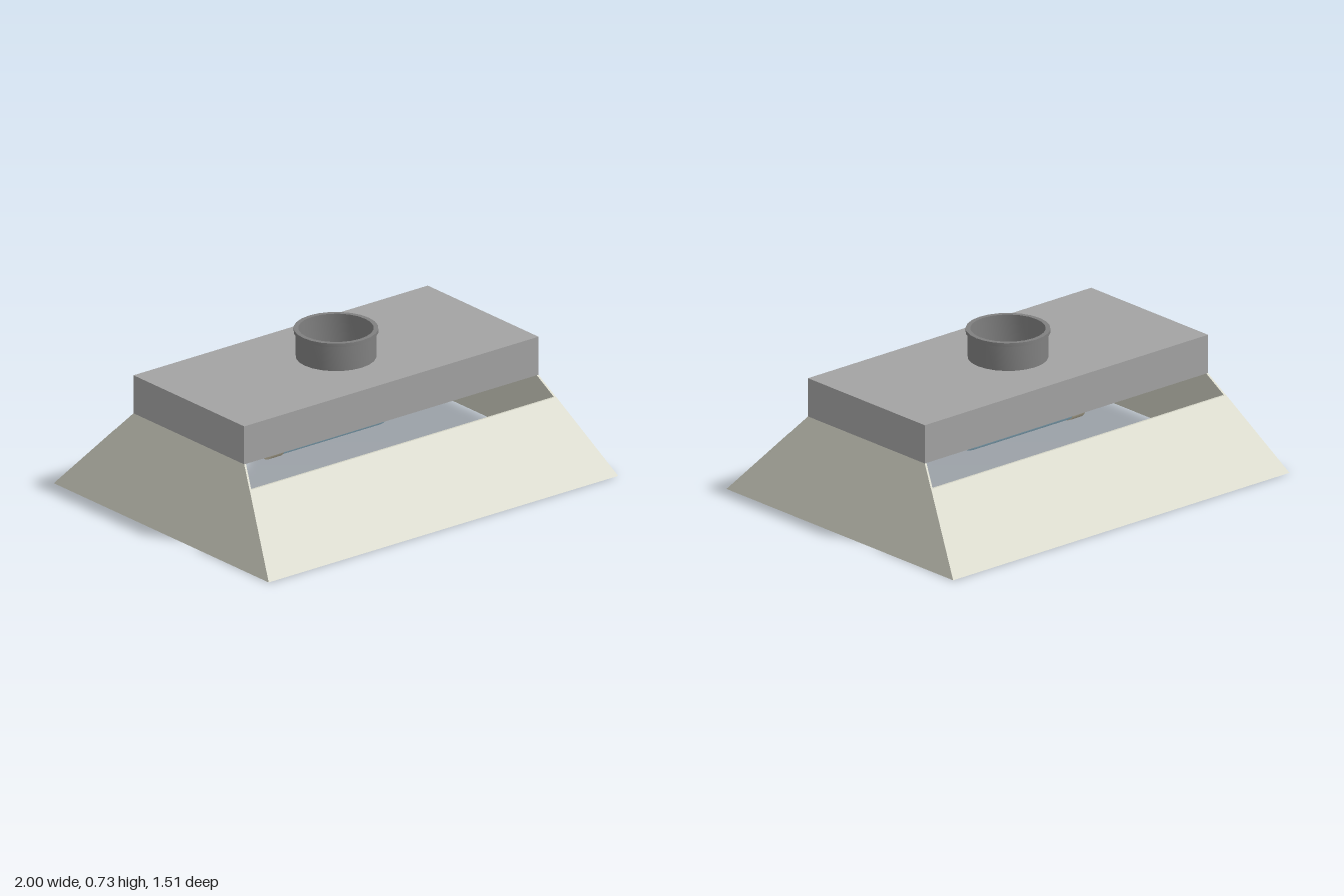
import * as THREE from 'three';
import { toCreasedNormals } from 'three/addons/utils/BufferGeometryUtils.js';
import { ConvexGeometry } from 'three/addons/geometries/ConvexGeometry.js';

const mat = (color) => new THREE.MeshStandardMaterial({ color });
const v2 = (pts) => pts.map(([x, y]) => new THREE.Vector2(x, y));

export function createModel() {
  const model = new THREE.Group();
  model.name = 'extractorHood';
  const panelMat = mat(0xd4d4c6), boxMat = mat(0xa3a3a3), ductMat = mat(0x808080), bracketMat = mat(0x606060);

  const add = (name, geometry, material, parent = model) => {
    const mesh = new THREE.Mesh(geometry, material);
    mesh.name = name;
    parent.add(mesh);
    return mesh;
  };

  // thin sloping panel: outer corners plus the same corners moved inward
  const panel = (name, corners, inward) => {
    const outer = corners.map((c) => new THREE.Vector3(...c));
    const inner = outer.map((p) => p.clone().add(inward));
    add(name, new ConvexGeometry([...outer, ...inner]), panelMat);
  };
  const t = 0.01;
  for (const s of [1, -1]) {
    // full-height side panels
    panel(s > 0 ? 'leftPanel' : 'rightPanel', [
      [s, 0, 0.757], [s, 0, -0.757], [s * 0.842, 0.41, -0.39], [s * 0.842, 0.41, 0.39],
    ], new THREE.Vector3(-s * t, 0, 0));
    // shorter front and back panels leave a slot below the box
    panel(s > 0 ? 'frontPanel' : 'backPanel', [
      [-1, 0, s * 0.757], [1, 0, s * 0.757], [0.877, 0.32, s * 0.472], [-0.877, 0.32, s * 0.472],
    ], new THREE.Vector3(0, 0, -s * t));
  }

  // box with a round duct hole right through it
  const plan = new THREE.Shape(v2([[-0.842, -0.39], [0.842, -0.39], [0.842, 0.39], [-0.842, 0.39]]));
  plan.holes.push(new THREE.Path().absarc(0, 0, 0.168, 0, Math.PI * 2, true));
  const boxGeo = new THREE.ExtrudeGeometry(plan, { depth: 0.182, bevelEnabled: false, curveSegments: 12 });
  boxGeo.rotateX(-Math.PI / 2).translate(0, 0.41, 0);
  add('hoodBox', toCreasedNormals(boxGeo, 0.6), boxMat);

  // duct collar with a lip around the top
  const collar = new THREE.LatheGeometry(v2([
    [0.18, 0.59], [0.18, 0.71], [0.189, 0.71], [0.189, 0.727], [0.168, 0.727], [0.168, 0.59],
  ]), 24);
  add('ductCollar', toCreasedNormals(collar, 0.6), ductMat);

  // lamp lying along x, each piece turned from an [radius, x] profile
  const lamp = new THREE.Group();
  lamp.name = 'lamp';
  lamp.position.y = 0.264;
  model.add(lamp);
  const turned = (name, profile, color) => add(name,
    toCreasedNormals(new THREE.LatheGeometry(v2(profile), 24).rotateZ(-Math.PI / 2), 0.6), mat(color), lamp);

  const r = 0.057, tube = [[0, -0.35], [r, -0.35], [r, 0.23]];
  for (let i = 1; i <= 8; i++) {
    const a = (i / 8) * Math.PI / 2;
    tube.push([i === 8 ? 0 : r * Math.cos(a), 0.23 + r * Math.sin(a)]);
  }
  turned('lampTube', tube, 0xa8d4ea);
  turned('lampCollar', [[0, -0.41], [0.061, -0.41], [0.061, -0.34], [0, -0.34]], 0xc8c0a8);
  turned('lampCap', [[0, -0.505], [0.036, -0.505], [0.045, -0.485], [0.045, -0.41], [0, -0.41]], 0xb08a58);

  // lamp bracket: square plate and stem
  add('bracketPlate', new THREE.BoxGeometry(0.164, 0.022, 0.164), bracketMat).position.set(-0.422, 0.379, 0);
  add('bracketStem', new THREE.BoxGeometry(0.028, 0.085, 0.028), bracketMat).position.set(-0.425, 0.33, 0);

  return model;
}
